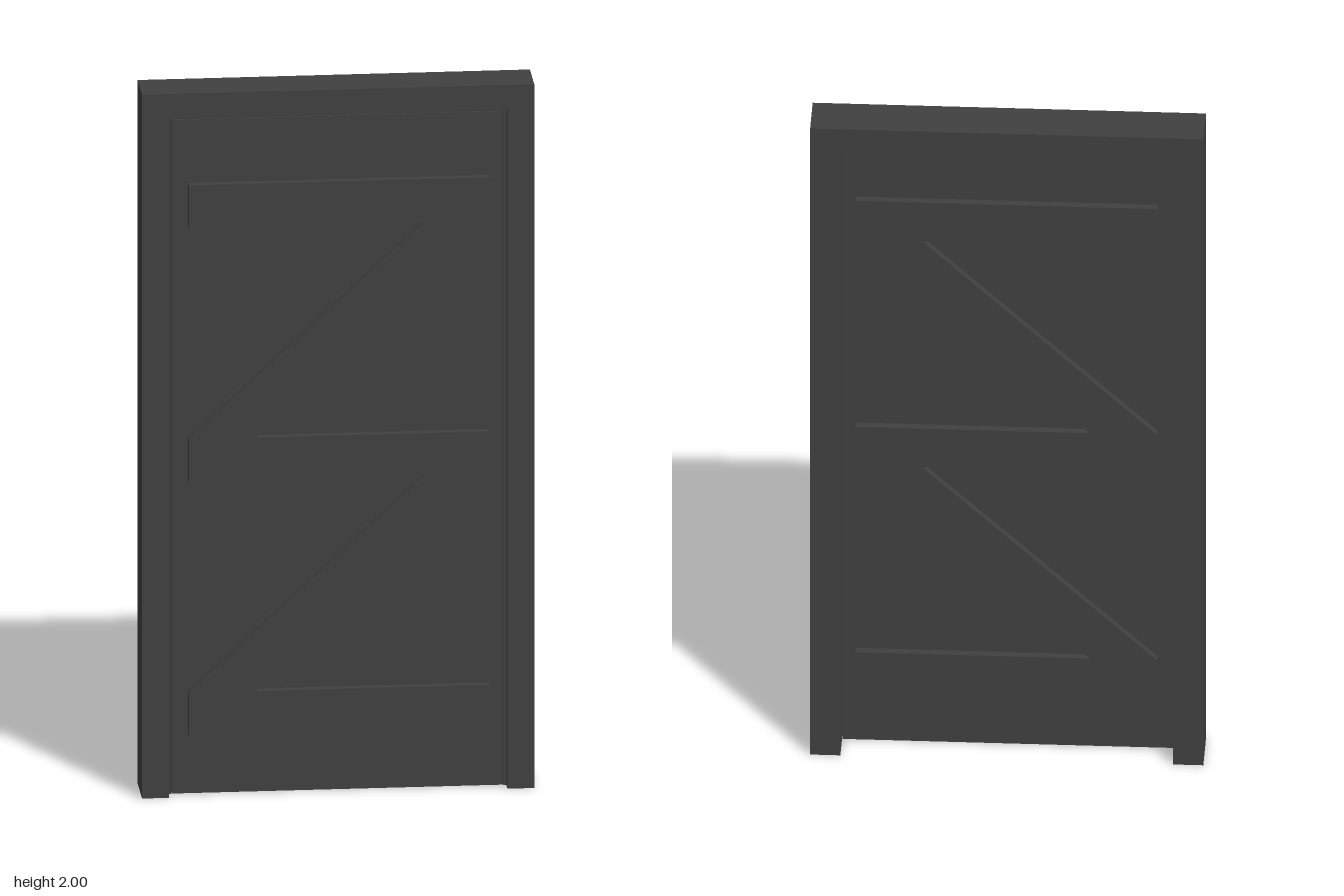
import * as THREE from 'three';

const material = new THREE.MeshStandardMaterial({ color: 0x404040 });

// Extrudes an outline between two z planes
function slab(name, points, zBack, zFront) {
  const shape = new THREE.Shape(points.map(([x, y]) => new THREE.Vector2(x, y)));
  const geometry = new THREE.ExtrudeGeometry(shape, { depth: zFront - zBack, bevelEnabled: false });
  geometry.translate(0, 0, zBack);
  const mesh = new THREE.Mesh(geometry, material);
  mesh.name = name;
  return mesh;
}

function box(name, x0, x1, y0, y1, z0, z1) {
  const mesh = new THREE.Mesh(new THREE.BoxGeometry(x1 - x0, y1 - y0, z1 - z0), material);
  mesh.position.set((x0 + x1) / 2, (y0 + y1) / 2, (z0 + z1) / 2);
  mesh.name = name;
  return mesh;
}

// Two jambs and a head as one outline, open at the floor
function frameOutline(inner, top) {
  const w = 0.533;
  return [[-w, 0], [-inner, 0], [-inner, top], [inner, top], [inner, 0], [w, 0], [w, 2], [-w, 2]];
}

export function createModel() {
  const door = new THREE.Group();
  door.name = 'door';

  // Frame: wider opening in front, narrower stop behind it
  const frame = new THREE.Group();
  frame.name = 'frame';
  frame.add(slab('frameFront', frameOutline(0.46, 1.93), 0.033, 0.066));
  frame.add(slab('frameStop', frameOutline(0.451, 1.917), -0.066, 0.033));
  door.add(frame);

  // Six upright planks
  const panel = new THREE.Group();
  panel.name = 'panel';
  const plankWidth = 0.15, panelBack = 0.015, panelFront = 0.035;
  for (let i = 0; i < 6; i++) {
    const x = -0.45 + i * plankWidth;
    panel.add(box('plank', x, x + plankWidth, 0.002, 1.916, panelBack, panelFront));
  }
  door.add(panel);

  // Ledges and diagonal braces on both faces of the planks
  const thickness = 0.022;
  const faces = [
    ['frontBracing', panelFront, panelFront + thickness],
    ['backBracing', panelBack - thickness, panelBack],
  ];
  for (const [name, z0, z1] of faces) {
    const bracing = new THREE.Group();
    bracing.name = name;
    for (const y of [0.17, 0.89, 1.612]) {
      bracing.add(box('ledge', -0.405, 0.413, y, y + 0.124, z0, z1));
    }
    for (const [low, high] of [[0.294, 0.89], [1.014, 1.612]]) {
      const outline = [[-0.405, low], [-0.222, low], [0.413, high], [0.232, high]];
      bracing.add(slab('diagonalBrace', outline, z0, z1));
    }
    door.add(bracing);
  }

  return door;
}
